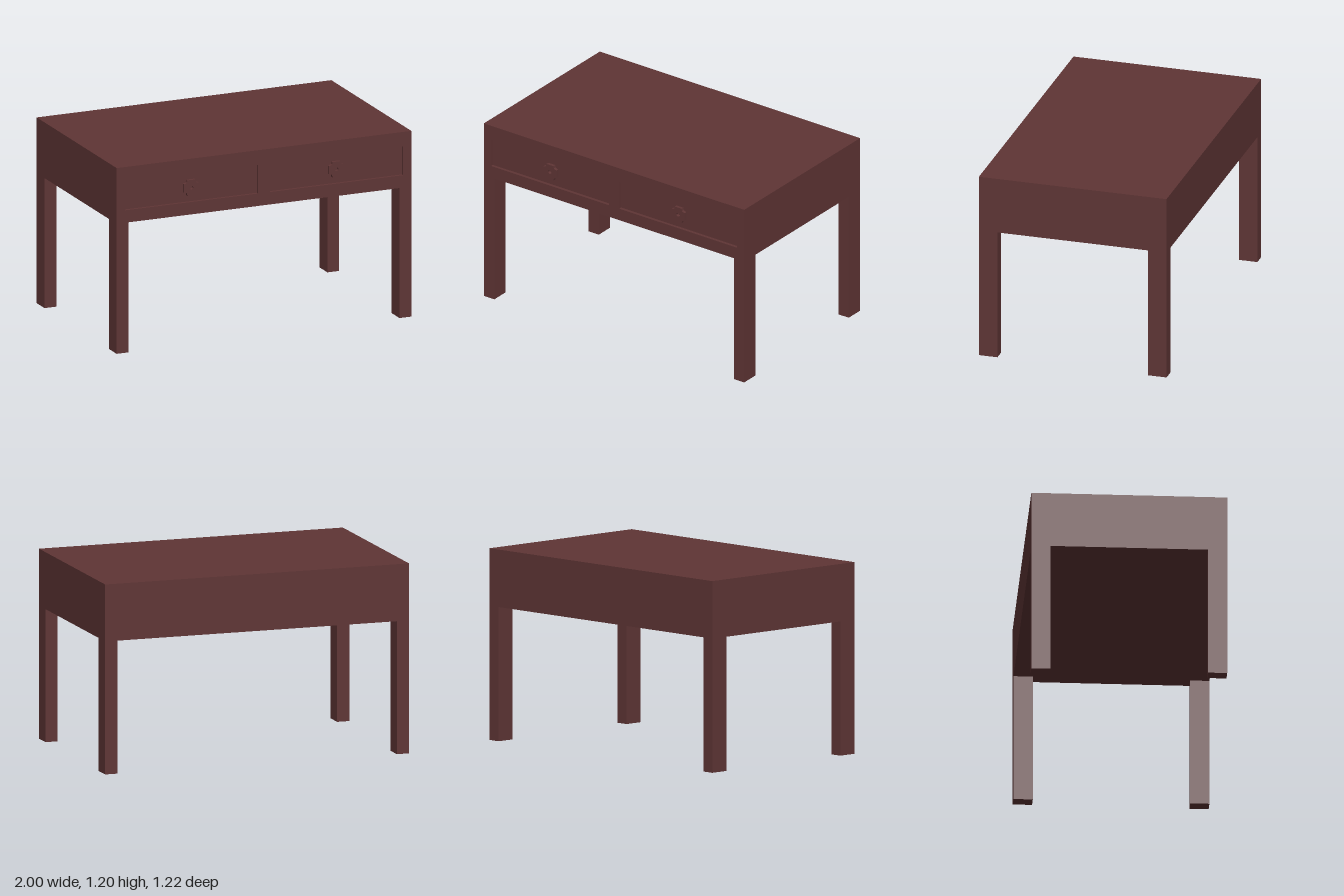
import * as THREE from 'three';

const W = 2, TOP = 1.2, BOTTOM = 0.84, HALF_Z = 0.608, RECESS = 0.02;

export function createModel() {
  const model = new THREE.Group();
  model.name = 'desk';
  const wood = new THREE.MeshStandardMaterial({ color: 0x5f3535 });
  wood.name = 'dark red wood';

  const add = (geometry, name, x, y, z) => {
    const mesh = new THREE.Mesh(geometry, wood);
    mesh.name = name;
    mesh.position.set(x, y, z);
    model.add(mesh);
  };
  const extrude = (shape, depth) =>
    new THREE.ExtrudeGeometry(shape, { depth, bevelEnabled: false });
  const rect = (Type, x0, y0, x1, y1) => {
    const r = new Type();
    r.moveTo(x0, y0).lineTo(x1, y0).lineTo(x1, y1).lineTo(x0, y1).closePath();
    return r;
  };

  // Solid body behind the front frame
  const depth = 2 * HALF_Z - RECESS;
  add(new THREE.BoxGeometry(W, TOP - BOTTOM, depth), 'body', 0, (TOP + BOTTOM) / 2, -RECESS / 2);

  // Front frame with two openings that reveal the recessed drawer faces
  const frame = rect(THREE.Shape, -1, BOTTOM, 1, TOP);
  frame.holes.push(
    rect(THREE.Path, -0.945, 0.92, -0.04, 1.105),
    rect(THREE.Path, 0.04, 0.92, 0.945, 1.105),
  );
  add(extrude(frame, RECESS), 'frontFrame', 0, 0, HALF_Z - RECESS);

  // Knob plate: square with stepped corners and a small hole
  const corner = [[0.05, 0.027], [0.036, 0.03], [0.03, 0.036], [0.027, 0.05]];
  const outline = [];
  for (let q = 0; q < 4; q++) {
    for (const [x, y] of corner) {
      outline.push(new THREE.Vector2(x, y).rotateAround(new THREE.Vector2(), q * Math.PI / 2));
    }
  }
  const knob = new THREE.Shape(outline);
  const hole = new THREE.Path();
  hole.absellipse(0, 0, 0.013, 0.011, 0, Math.PI * 2);
  knob.holes.push(hole);
  const knobGeometry = extrude(knob, RECESS);

  // Knobs and legs, mirrored
  for (const sx of [-1, 1]) {
    add(knobGeometry, 'drawerKnob', sx * 0.4925, 1.0125, HALF_Z - RECESS);
    for (const sz of [-1, 1]) {
      add(new THREE.BoxGeometry(0.08, BOTTOM, 0.12), sz > 0 ? 'frontLeg' : 'backLeg',
        sx * 0.96, BOTTOM / 2, sz * (HALF_Z - 0.06));
    }
  }
  return model;
}
